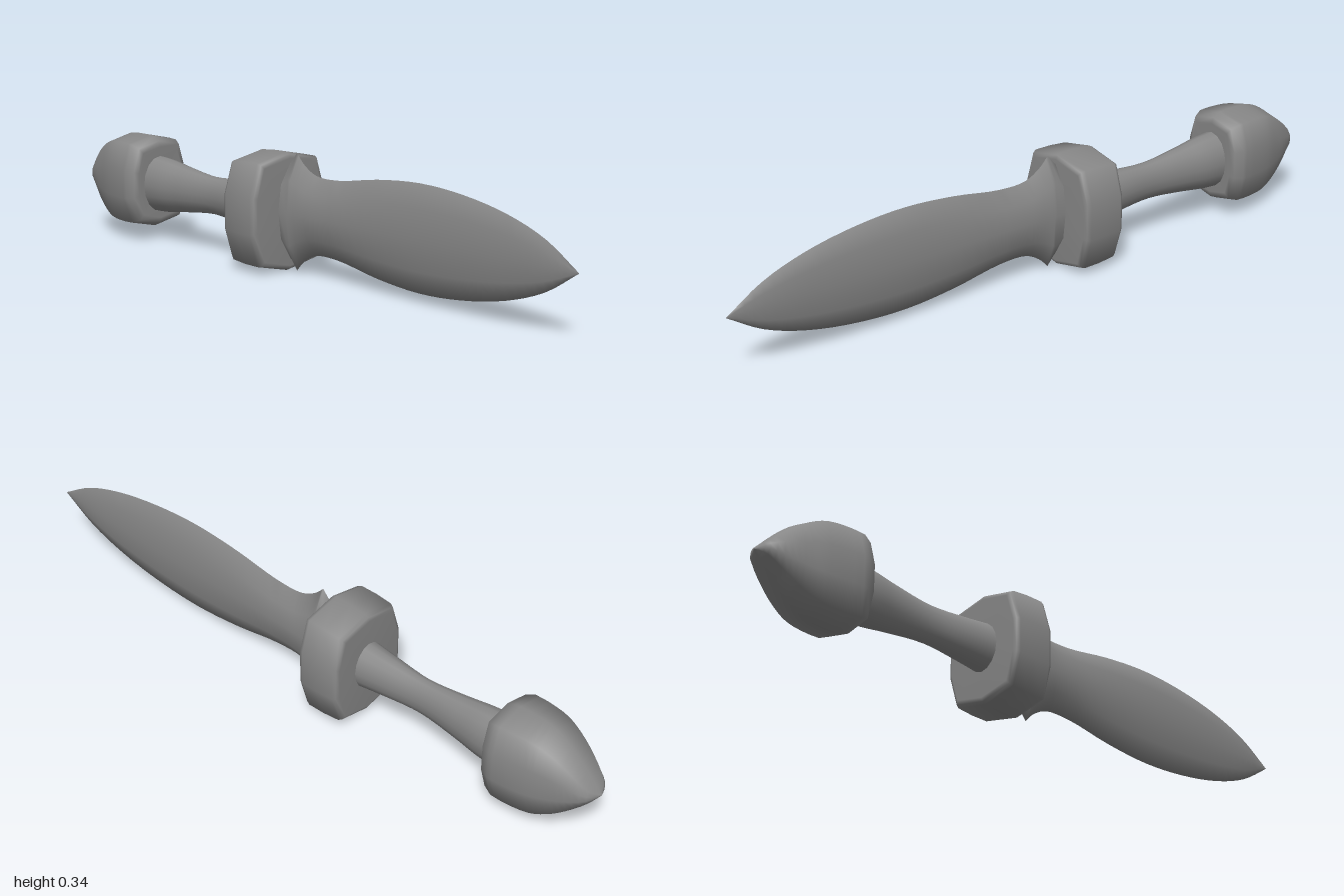
import * as THREE from 'three';

const material = new THREE.MeshStandardMaterial({ color: 0x888888 });

// Skins a closed unit cross-section through stations [z, halfWidth, halfHeight], ordered front to back.
function loft(section, stations) {
  const positions = [], index = [], n = section.length;
  for (const [z, w, h] of stations)
    for (const [x, y] of section) positions.push(x * w, y * h, z);
  for (let i = 0; i < stations.length - 1; i++) {
    for (let j = 0; j < n; j++) {
      const a = i * n + j, b = i * n + (j + 1) % n, c = a + n, d = b + n;
      index.push(a, c, b, b, c, d);
    }
  }
  const geometry = new THREE.BufferGeometry();
  geometry.setAttribute('position', new THREE.Float32BufferAttribute(positions, 3));
  geometry.setIndex(index);
  geometry.computeVertexNormals();
  return geometry;
}

// Rounds the run of stations with a spline.
function smooth(stations, steps = 4) {
  const curve = new THREE.CatmullRomCurve3(stations.map(([z, w, h]) => new THREE.Vector3(z, w, h)));
  return curve.getPoints((stations.length - 1) * steps)
    .map((p) => [p.x, Math.max(p.y, 0), Math.max(p.z, 0)]);
}

function addPart(group, name, geometry, y) {
  const mesh = new THREE.Mesh(geometry, material);
  mesh.name = name;
  mesh.position.y = y;
  group.add(mesh);
}

export function createModel() {
  const model = new THREE.Group();
  model.name = 'dagger';

  // Blade: bevelled lens section, flared at the root, which runs into the guard
  const lens = [[1, 0], [0.78, 0.57], [0, 1], [-0.78, 0.57],
    [-1, 0], [-0.78, -0.57], [0, -1], [0.78, -0.57]];
  addPart(model, 'blade', loft(lens, [
    ...smooth([
      [1, 0, 0], [0.89, 0.012, 0.066], [0.76, 0.019, 0.11], [0.6, 0.025, 0.138],
      [0.44, 0.029, 0.147], [0.28, 0.032, 0.135], [0.12, 0.036, 0.111],
      [0.03, 0.04, 0.113], [-0.02, 0.042, 0.138], [-0.05, 0.044, 0.167],
    ]),
    [-0.075, 0.045, 0.138], [-0.09, 0.045, 0.13],
  ]), 0.175);

  // Faceted outline shared by guard and pommel
  const block = [[1, -0.31], [1, 0.31], [0.79, 0.865], [0, 1], [-0.79, 0.865],
    [-1, 0.31], [-1, -0.31], [-0.79, -0.865], [0, -1], [0.79, -0.865]];

  // Guard: block with narrow softened rims, slightly lower at the back
  addPart(model, 'guard', loft(block, [
    [-0.078, 0, 0], [-0.078, 0.119, 0.153], [-0.084, 0.129, 0.164], [-0.096, 0.134, 0.169],
    [-0.15, 0.135, 0.168], [-0.203, 0.133, 0.163], [-0.213, 0.128, 0.157],
    [-0.218, 0.118, 0.147], [-0.218, 0, 0],
  ]), 0.171);

  // Grip: waisted oval bar
  const oval = Array.from({ length: 16 }, (_, i) => {
    const a = (i / 16) * Math.PI * 2;
    return [Math.cos(a), Math.sin(a)];
  });
  addPart(model, 'grip', loft(oval, smooth([
    [-0.2, 0.058, 0.073], [-0.3, 0.046, 0.063], [-0.42, 0.035, 0.056],
    [-0.55, 0.046, 0.069], [-0.63, 0.057, 0.08], [-0.7, 0.061, 0.085],
  ])), 0.171);

  // Pommel: block tapering to a blunt ridge at the rear
  addPart(model, 'pommel', loft(block, [
    [-0.69, 0, 0], [-0.682, 0.08, 0.108], [-0.688, 0.094, 0.125],
    ...smooth([[-0.715, 0.105, 0.137], [-0.76, 0.103, 0.139], [-0.83, 0.093, 0.134],
      [-0.88, 0.08, 0.112], [-0.93, 0.065, 0.073], [-0.98, 0.04, 0.023], [-1, 0, 0]], 3),
  ]), 0.175);

  return model;
}
